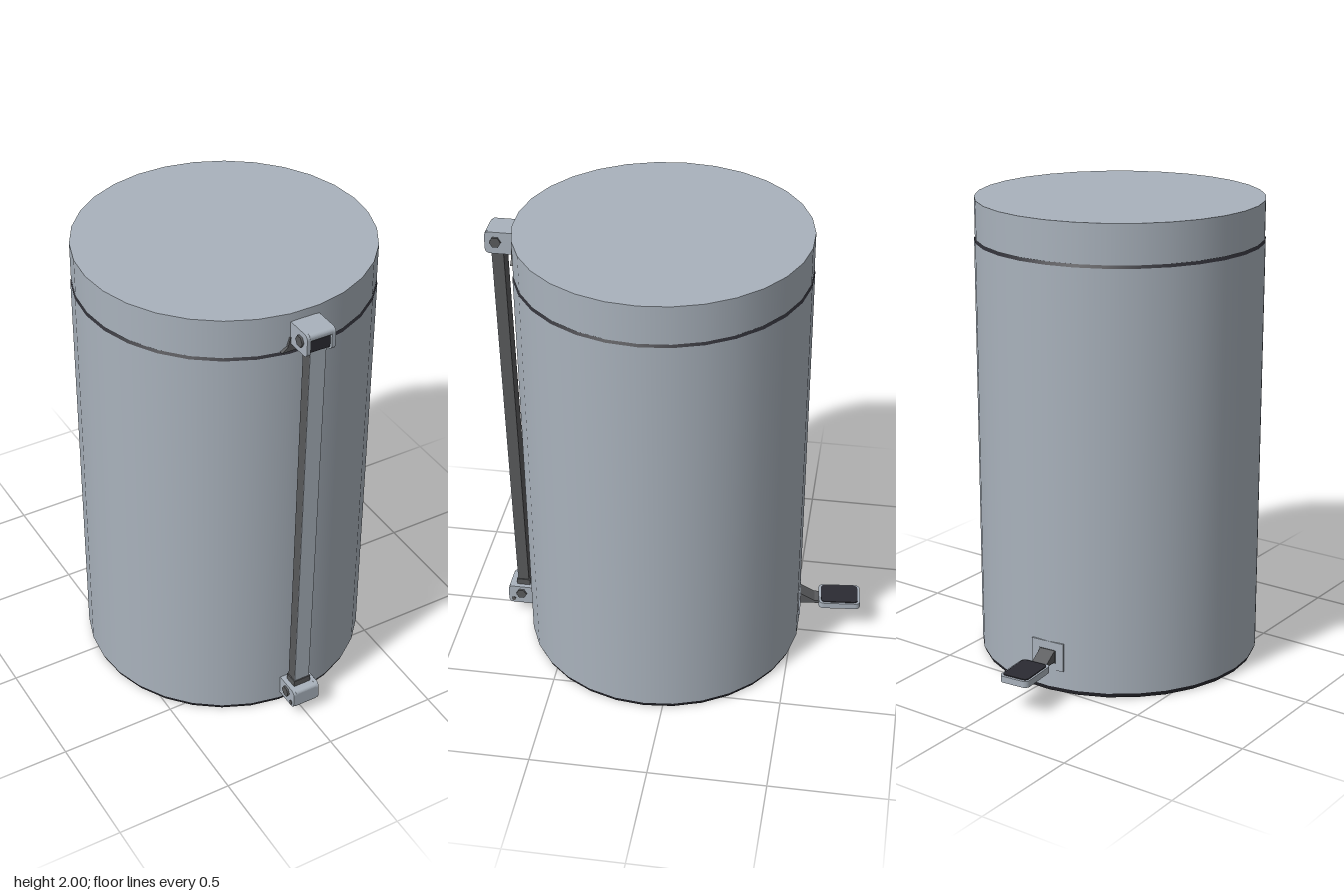
import * as THREE from 'three';

const mat = (name, color) => {
  const m = new THREE.MeshStandardMaterial({ color });
  m.name = name;
  return m;
};

export function createModel() {
  const steel = mat('brushed steel', 0xa9b2bc);
  const darkMetal = mat('dark metal', 0x58595b);
  const rubber = mat('black rubber', 0x2b2b32);

  const model = new THREE.Group();
  const CZ = 0.08, R = 0.609, SIDES = 30;

  const add = (parent, name, geo, material, x = 0, y = 0, z = 0) => {
    const mesh = new THREE.Mesh(geo, material);
    mesh.name = name;
    mesh.position.set(x, y, z);
    parent.add(mesh);
    return mesh;
  };
  const box = (parent, name, material, w, h, d, x, y, z) =>
    add(parent, name, new THREE.BoxGeometry(w, h, d), material, x, y, z);

  // Upright drum between two heights, flat side facing the front
  const drum = (name, material, r0, r1, y0, y1, open = false) =>
    add(model, name,
      new THREE.CylinderGeometry(r1, r0, y1 - y0, SIDES, 1, open, Math.PI / SIDES),
      material, 0, (y0 + y1) / 2, CZ);

  // Rounded rectangle centred on the origin
  const roundedRect = (w, h, r) => {
    const s = new THREE.Shape(), a = w / 2 - r, b = h / 2 - r;
    s.absarc(a, b, r, 0, Math.PI / 2);
    s.absarc(-a, b, r, Math.PI / 2, Math.PI);
    s.absarc(-a, -b, r, Math.PI, Math.PI * 1.5);
    s.absarc(a, -b, r, Math.PI * 1.5, Math.PI * 2);
    return s;
  };
  const polygon = (points) => new THREE.Shape(points.map(([x, y]) => new THREE.Vector2(x, y)));
  const extrude = (shape, depth) => {
    const g = new THREE.ExtrudeGeometry(shape, { depth, bevelEnabled: false, curveSegments: 4 });
    return g.translate(0, 0, -depth / 2);
  };

  // Bin shell: steel drum and lid with black chamfered rims
  drum('baseDisc', steel, R - 0.008, R - 0.008, 0, 0.01);
  drum('baseRim', rubber, R - 0.008, R, 0, 0.02, true);
  drum('body', steel, R, R, 0.02, 1.823, true);
  drum('lidSeal', rubber, R, R - 0.01, 1.823, 1.838, true);
  drum('lid', steel, R - 0.003, R - 0.003, 1.836, 2);

  // Hinge bracket: two cheeks, a bridge and a bolt through them
  const bracket = (name, y, height, bridgeY, bridgeH, boltY, boltZ) => {
    const g = new THREE.Group();
    g.name = name;
    model.add(g);
    for (const side of [-1, 1]) {
      const cheek = extrude(roundedRect(0.13, height, 0.02), 0.016).rotateY(-Math.PI / 2);
      add(g, 'cheek', cheek, steel, side * 0.054, y, 0.735);
      const hex = new THREE.CylinderGeometry(0.024, 0.024, 0.01, 6).rotateZ(Math.PI / 2);
      add(g, 'bolt', hex, darkMetal, side * 0.066, boltY, boltZ);
    }
    const bridge = extrude(roundedRect(0.13, bridgeH, 0.014), 0.1).rotateY(-Math.PI / 2);
    add(g, 'bridge', bridge, steel, 0, bridgeY, 0.735);
    return g;
  };
  const upper = bracket('lidHinge', 1.917, 0.096, 1.949, 0.032, 1.922, 0.755);
  box(upper, 'hingeCore', rubber, 0.09, 0.052, 0.105, 0, 1.908, 0.738);
  // Flared foot below the lid hinge, lying against the lid
  const foot = polygon([[-0.1, 0], [0.1, 0], [0.075, 0.02], [0.065, 0.06], [-0.065, 0.06], [-0.075, 0.02]]);
  add(upper, 'hingeFoot', extrude(foot, 0.02), darkMetal, 0, 1.838, 0.68);

  const lower = bracket('baseHinge', 0.095, 0.09, 0.095, 0.088, 0.105, 0.74);
  box(lower, 'hingeCore', darkMetal, 0.08, 0.035, 0.06, 0, 0.15, 0.734);
  for (const side of [-1, 1]) {
    const pin = new THREE.CylinderGeometry(0.01, 0.01, 0.004, 10).rotateZ(Math.PI / 2);
    add(lower, 'pin', pin, darkMetal, side * 0.063, 0.07, 0.778);
  }

  // Leaning lift rod with a thin steel face
  const rod = new THREE.Group();
  rod.name = 'liftRod';
  rod.position.set(0, 1.005, 0.744);
  rod.rotation.x = 0.0125;
  model.add(rod);
  box(rod, 'rodCore', darkMetal, 0.07, 1.76, 0.048, 0, 0, 0);
  box(rod, 'rodFace', steel, 0.07, 1.76, 0.002, 0, 0, 0.025);

  // Foot pedal, turned slightly off the back centre line
  const pedal = new THREE.Group();
  pedal.name = 'pedal';
  pedal.position.z = CZ;
  pedal.rotation.y = 0.1;
  model.add(pedal);
  box(pedal, 'wallPlate', steel, 0.15, 0.125, 0.008, 0, 0.162, -0.606);
  box(pedal, 'wallSlot', darkMetal, 0.076, 0.06, 0.004, 0, 0.16, -0.609);
  const armSide = polygon([[-0.6, 0.137], [-0.72, 0.137], [-0.72, 0.15], [-0.675, 0.15], [-0.61, 0.188], [-0.6, 0.188]]);
  add(pedal, 'arm', extrude(armSide, 0.07).rotateY(-Math.PI / 2), darkMetal);
  const plate = extrude(roundedRect(0.135, 0.186, 0.022), 0.028).rotateX(-Math.PI / 2);
  add(pedal, 'footPlate', plate, steel, 0, 0.149, -0.786);
  const pad = extrude(roundedRect(0.118, 0.164, 0.018), 0.006).rotateX(-Math.PI / 2);
  add(pedal, 'footPad', pad, rubber, 0, 0.164, -0.786);

  return model;
}
